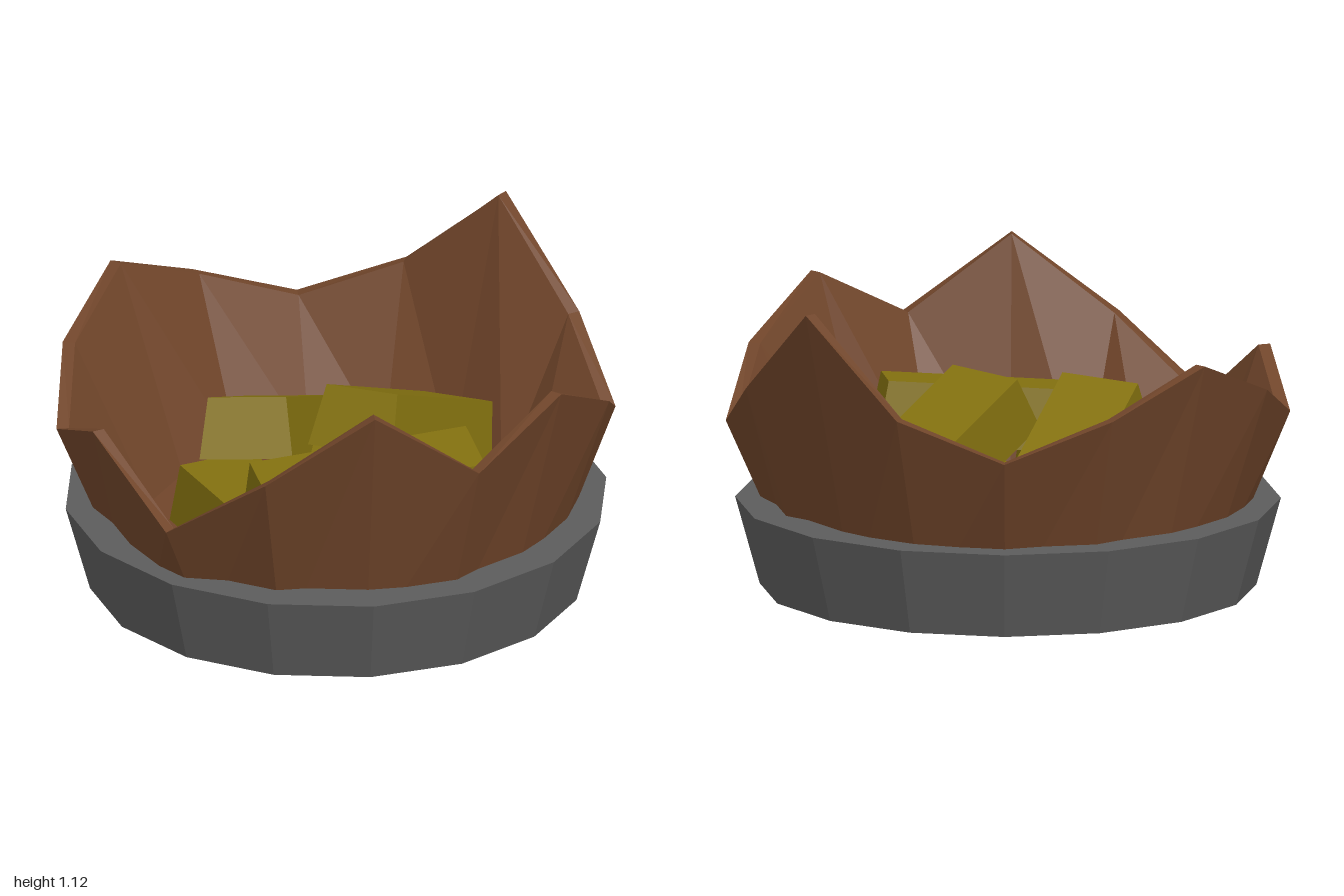
import * as THREE from 'three';

const SIDES = 16;
// Broken rim height at each corner, going round from the front (+z) towards +x
const RIM = [0.53, 0.79, 1.06, 0.79, 0.98, 0.79, 0.59, 0.79, 1.125, 0.79, 0.65, 0.79, 0.945, 0.79, 0.63, 0.79];

// Closed surface swept round y: profile(i) gives [radius, y] points for corner i
function sweep(profile, closed) {
  const pos = [];
  const point = (i, j) => {
    const a = (i % SIDES) / SIDES * Math.PI * 2;
    const p = profile(i % SIDES);
    const [r, y] = p[j % p.length];
    return [r * Math.sin(a), y, r * Math.cos(a)];
  };
  const count = profile(0).length;
  for (let i = 0; i < SIDES; i++) {
    for (let j = 0; j < (closed ? count : count - 1); j++) {
      const a = point(i, j), b = point(i + 1, j), c = point(i + 1, j + 1), d = point(i, j + 1);
      // choose the diagonal that joins the lower point of corner i to the upper one of i + 1
      if (c[1] >= b[1]) pos.push(...a, ...b, ...c, ...a, ...c, ...d);
      else pos.push(...a, ...b, ...d, ...b, ...c, ...d);
    }
  }
  const geometry = new THREE.BufferGeometry();
  geometry.setAttribute('position', new THREE.Float32BufferAttribute(pos, 3));
  geometry.computeVertexNormals();
  return geometry;
}

// Ingot: a box tapered towards its top, origin at the centre of the top face
function ingotGeometry() {
  const geometry = new THREE.BoxGeometry(0.335, 0.22, 0.85);
  geometry.translate(0, -0.11, 0);
  const p = geometry.attributes.position;
  for (let i = 0; i < p.count; i++) {
    if (p.getY(i) > -0.1) p.setXYZ(i, p.getX(i) * 0.84, 0, p.getZ(i) * 0.93);
  }
  const flat = geometry.toNonIndexed();
  flat.computeVertexNormals();
  return flat;
}

export function createModel() {
  const material = (name, color) => {
    const m = new THREE.MeshStandardMaterial({ color });
    m.name = name;
    return m;
  };
  const wood = material('brown wood', 0x70452a);
  const iron = material('grey iron', 0x5c5c5c);
  const gold = material('dull gold', 0x82700f);

  const group = new THREE.Group();
  const add = (name, geometry, mat) => {
    const mesh = new THREE.Mesh(geometry, mat);
    mesh.name = name;
    group.add(mesh);
    return mesh;
  };

  // Broken barrel: underside, outer wall, jagged rim, inner wall, floor
  add('barrel', sweep((i) => [
    [0, 0.05], [0.76, 0.05], [1, RIM[i]], [0.955, RIM[i]], [0.68, 0.2], [0, 0.2],
  ], false), wood);

  // Hoop round the foot
  add('hoop', sweep(() => [
    [0.735, 0], [0.88, 0], [0.967, 0.315], [0.755, 0.315],
  ], true), iron);

  // Ingots: top centre, then yaw, pitch and roll in degrees
  const ingot = ingotGeometry();
  const deg = THREE.MathUtils.degToRad;
  [
    [[0.06, 0.59, -0.36], 8.5, -24, 4],
    [[-0.35, 0.575, -0.055], 26, -24, 5],
    [[0.355, 0.635, 0.285], -39, 4, -5],
    [[-0.03, 0.42, 0.38], 63, 0, 0],
    [[0.22, 0.42, -0.04], 78, 0, 0],
  ].forEach(([place, yaw, pitch, roll], i) => {
    const bar = add('ingot' + (i + 1), ingot, gold);
    bar.position.set(...place);
    bar.rotation.set(deg(pitch), deg(yaw), deg(roll), 'YXZ');
  });

  return group;
}
